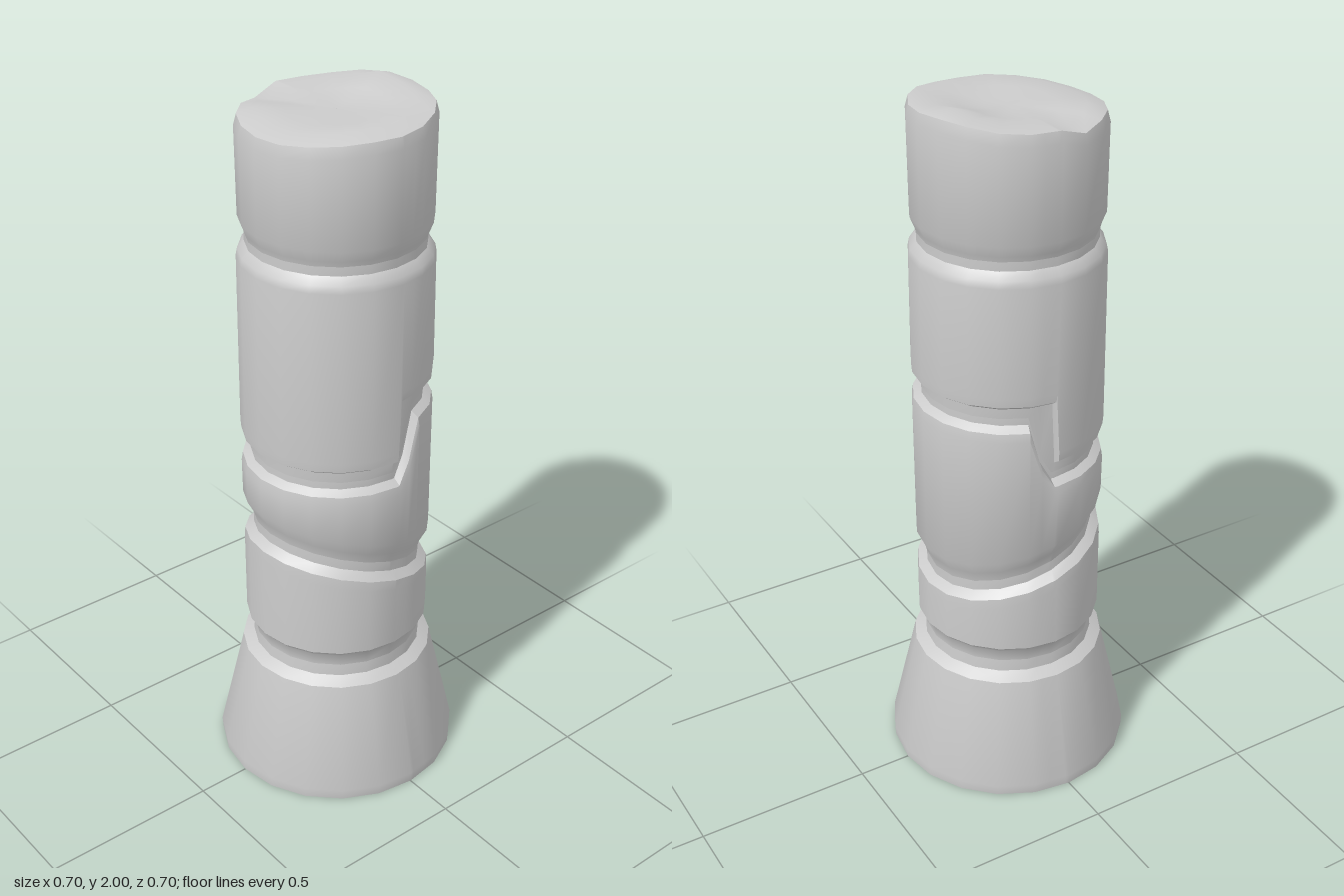
import * as THREE from 'three';
import { toCreasedNormals } from 'three/addons/utils/BufferGeometryUtils.js';

const SIDES = 20, STEP = 360 / SIDES;

// Column angles in degrees (0 = front, 90 = +x), with extra ones at the two stepped cuts
const angles = [92, 100, 260, 268];
for (let i = 0; i < SIDES; i++) angles.push(i * STEP);
angles.sort((a, b) => a - b);

const rad = THREE.MathUtils.degToRad;
const lerp = THREE.MathUtils.lerp;

// Keeps the extra columns on the flat sides of the 20-gon
const chord = (a) => Math.cos(rad(STEP / 2)) / Math.cos(rad((a % STEP) - STEP / 2));

// Surface through rings; each ring is a function of the angle giving [radius, height]
function loft(name, rings, crease = 40) {
  const pos = [], index = [], n = angles.length;
  for (const ring of rings) {
    for (const a of angles) {
      const [r, y] = ring(a);
      const c = r * chord(a);
      pos.push(c * Math.sin(rad(a)), y, c * Math.cos(rad(a)));
    }
  }
  for (let i = 0; i < rings.length - 1; i++) {
    for (let j = 0; j < n; j++) {
      const k = (j + 1) % n;
      const p = i * n + j, q = i * n + k, s = p + n, t = q + n;
      index.push(p, q, t, p, t, s);
    }
  }
  const geo = new THREE.BufferGeometry();
  geo.setAttribute('position', new THREE.Float32BufferAttribute(pos, 3));
  geo.setIndex(index);
  const mesh = new THREE.Mesh(
    toCreasedNormals(geo, rad(crease)),
    new THREE.MeshStandardMaterial({ color: 0xcccccc, roughness: 0.9, side: THREE.DoubleSide })
  );
  mesh.name = name;
  return mesh;
}

const flat = (r, y) => () => [r, y];

// Slanted groove: high at the front, low at the back
const slanted = (r, y) => (a) => [r, y + 0.07 * Math.cos(rad(a))];

// Stepped groove: low on the front half, high on the back half
const fold = (a) => (a > 180 ? 360 - a : a);
const lowerLip = (a) => THREE.MathUtils.clamp((fold(a) - 96) / 12, 0, 1);
const upperLip = (a) => (fold(a) > 91 ? 1 : 0);
const stepped = (r, y, lip) => (a) => [r, y + 0.18 * lip(a)];

// Broken top: heights around the outer edge and around the inner ridge
const edgeHeights = [1.94, 1.94, 1.945, 1.95, 1.955, 1.955, 1.96, 1.97, 1.975, 1.975,
  1.98, 1.985, 1.98, 1.97, 1.965, 1.965, 1.94, 1.95, 1.95, 1.945];
const ridgeHeights = [1.955, 1.955, 1.96, 1.965, 1.97, 1.97, 1.975, 1.975, 1.98, 1.985,
  1.99, 2.0, 1.985, 1.975, 1.97, 1.965, 1.945, 1.96, 1.965, 1.96];
const around = (table) => (a) => {
  const f = a / STEP, i = Math.floor(f);
  return lerp(table[i % SIDES], table[(i + 1) % SIDES], f - i);
};
const edge = around(edgeHeights), ridge = around(ridgeHeights);

export function createModel() {
  const group = new THREE.Group();
  group.name = 'carvedColumn';

  // Flared foot, open underneath
  group.add(loft('flaredFoot', [
    flat(0.347, 0), flat(0.349, 0.03), flat(0.275, 0.35), flat(0.243, 0.37), flat(0.24, 0.405),
  ]));

  // Lower drum, between the straight and the slanted groove
  group.add(loft('lowerDrum', [
    flat(0.24, 0.405), flat(0.244, 0.44), flat(0.262, 0.46),
    slanted(0.262, 0.64), slanted(0.26, 0.67), slanted(0.235, 0.69), slanted(0.235, 0.72),
  ]));

  // Middle drum, with a raised back that meets the stepped groove
  group.add(loft('middleDrum', [
    slanted(0.235, 0.72), slanted(0.242, 0.75), slanted(0.263, 0.79),
    stepped(0.264, 0.95, lowerLip), stepped(0.26, 0.975, lowerLip),
    stepped(0.238, 0.99, lowerLip), stepped(0.238, 1.01, lowerLip),
  ]));

  // Upper drum, with its lower edge stepping up at the back
  group.add(loft('upperDrum', [
    stepped(0.238, 1.01, lowerLip), stepped(0.24, 1.04, upperLip), stepped(0.262, 1.055, upperLip),
    stepped(0.264, 1.08, upperLip),
    flat(0.262, 1.57), flat(0.258, 1.59), flat(0.24, 1.61), flat(0.24, 1.635),
  ]));

  // Top drum, up to its uneven edge
  group.add(loft('topDrum', [
    flat(0.24, 1.635), flat(0.244, 1.65), flat(0.256, 1.68),
    (a) => [0.258, edge(a) - 0.03], (a) => [0.25, edge(a)],
  ]));

  // Worn end face with a shallow hollow
  group.add(loft('wornTop', [
    (a) => [0.25, edge(a)],
    (a) => [0.2, ridge(a)],
    (a) => [0.13, lerp(ridge(a), 1.96, 0.6)],
    flat(0.06, 1.958), flat(0.001, 1.957),
  ], 60));

  return group;
}
